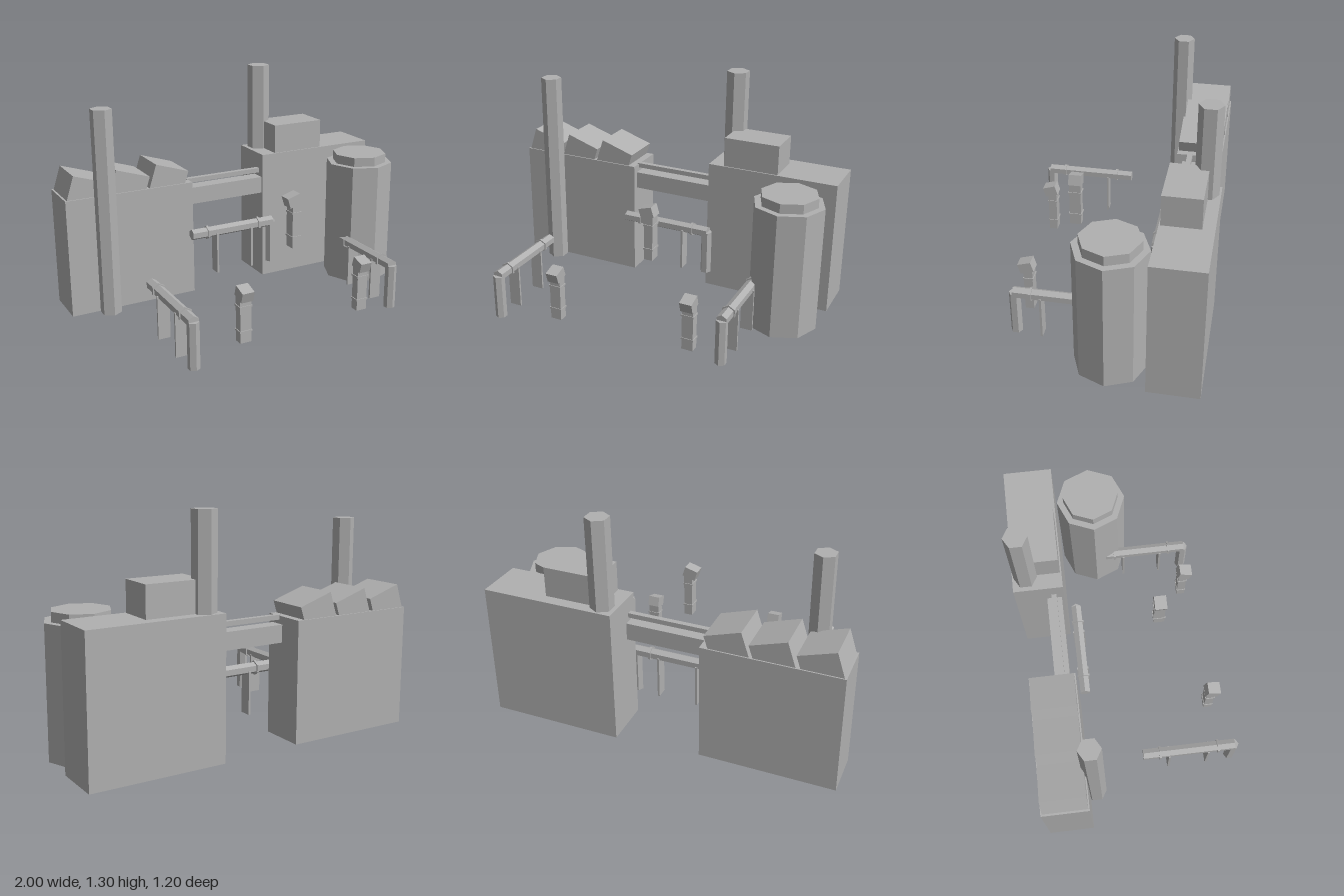
import * as THREE from 'three';

const concrete = new THREE.MeshStandardMaterial({ color: 0xb0b0b0, flatShading: true });
concrete.name = 'concreteGrey';

function add(parent, name, geometry, x, y, z) {
  const mesh = new THREE.Mesh(geometry, concrete);
  mesh.name = name;
  mesh.position.set(x, y, z);
  parent.add(mesh);
  return mesh;
}

// Box given by its limits on each axis
function block(parent, name, [x0, x1], [y0, y1], [z0, z1]) {
  return add(parent, name, new THREE.BoxGeometry(x1 - x0, y1 - y0, z1 - z0),
    (x0 + x1) / 2, (y0 + y1) / 2, (z0 + z1) / 2);
}

// Upright prism with corners on the z axis
function prism(parent, name, sides, r, y0, y1, x, z) {
  return add(parent, name, new THREE.CylinderGeometry(r, r, y1 - y0, sides), x, (y0 + y1) / 2, z);
}

// Raised pipe along z that bends down at its front end
function pipeRun(parent, name, x, y, z, turn) {
  const g = new THREE.Group();
  g.name = name;
  const along = (part, r, length, pz) =>
    add(g, part, new THREE.CylinderGeometry(r, r, length, 6).rotateX(Math.PI / 2), 0, 0.2575, pz);
  along('pipe', 0.0325, 0.54, 0);
  prism(g, 'downPipe', 6, 0.0325, 0, 0.258, 0, 0.262);
  for (const s of [-1, 1]) {
    along('pipeCollar', 0.041, 0.012, s * 0.17);
    block(g, 'supportPlate', [-0.035, 0.035], [0, 0.25], [s * 0.115 - 0.006, s * 0.115 + 0.006]);
  }
  g.position.set(x, y, z);
  g.rotation.y = turn;
  parent.add(g);
}

// Vent post with a hood tipped forward and two bands
function ventPost(parent, name, x, y, z, turn) {
  const g = new THREE.Group();
  g.name = name;
  block(g, 'ventShaft', [-0.0325, 0.0325], [0, 0.26], [-0.025, 0.025]);
  for (const h of [0.065, 0.205]) {
    block(g, 'ventBand', [-0.037, 0.037], [h - 0.005, h + 0.005], [-0.029, 0.029]);
  }
  const hood = add(g, 'ventHood', new THREE.BoxGeometry(0.07, 0.06, 0.078), 0, 0.277, 0.012);
  hood.rotation.x = 0.3;
  g.position.set(x, y, z);
  g.rotation.y = turn;
  parent.add(g);
}

export function createModel() {
  const model = new THREE.Group();
  model.name = 'factory';

  // Main halls
  block(model, 'rightHall', [-1, -0.24], [0, 0.685], [-0.562, -0.302]);
  block(model, 'leftHall', [0.24, 1], [0, 0.782], [-0.6, -0.32]);
  block(model, 'roofHouse', [0.33, 0.655], [0.77, 0.953], [-0.535, -0.328]);

  // Sawtooth roof of tilted boxes
  for (const x of [-0.87, -0.625, -0.385]) {
    const tooth = add(model, 'roofTooth', new THREE.BoxGeometry(0.21, 0.16, 0.245), x, 0.711, -0.432);
    tooth.rotation.z = -0.315;
  }

  // Chimneys
  prism(model, 'rightChimney', 6, 0.061, 0, 1.185, -0.785, -0.264);
  prism(model, 'leftChimney', 6, 0.066, 0.7, 1.297, 0.322, -0.525);

  // Eight-sided tank with a raised lid
  prism(model, 'tank', 8, 0.2, 0, 0.728, 0.8, -0.107);
  prism(model, 'tankLid', 8, 0.162, 0.72, 0.782, 0.8, -0.107);

  // Bridge between the halls with a duct above
  block(model, 'bridge', [-0.25, 0.25], [0.54, 0.64], [-0.42, -0.335]);
  block(model, 'bridgeDuct', [-0.25, 0.25], [0.663, 0.69], [-0.393, -0.363]);

  // Yard pipes
  pipeRun(model, 'rightPipeRun', -0.65, 0, 0.302, 0);
  pipeRun(model, 'leftPipeRun', 0.655, 0, 0.183, 0);
  pipeRun(model, 'centrePipeRun', 0, 0.118, -0.263, Math.PI / 2);

  // Yard vents
  ventPost(model, 'rightVent', -0.32, 0.032, 0.475, 0);
  ventPost(model, 'leftVent', 0.46, 0.02, 0.417, 0);
  ventPost(model, 'centreVent', 0.134, 0.395, 0.22, -Math.PI / 2);

  return model;
}
